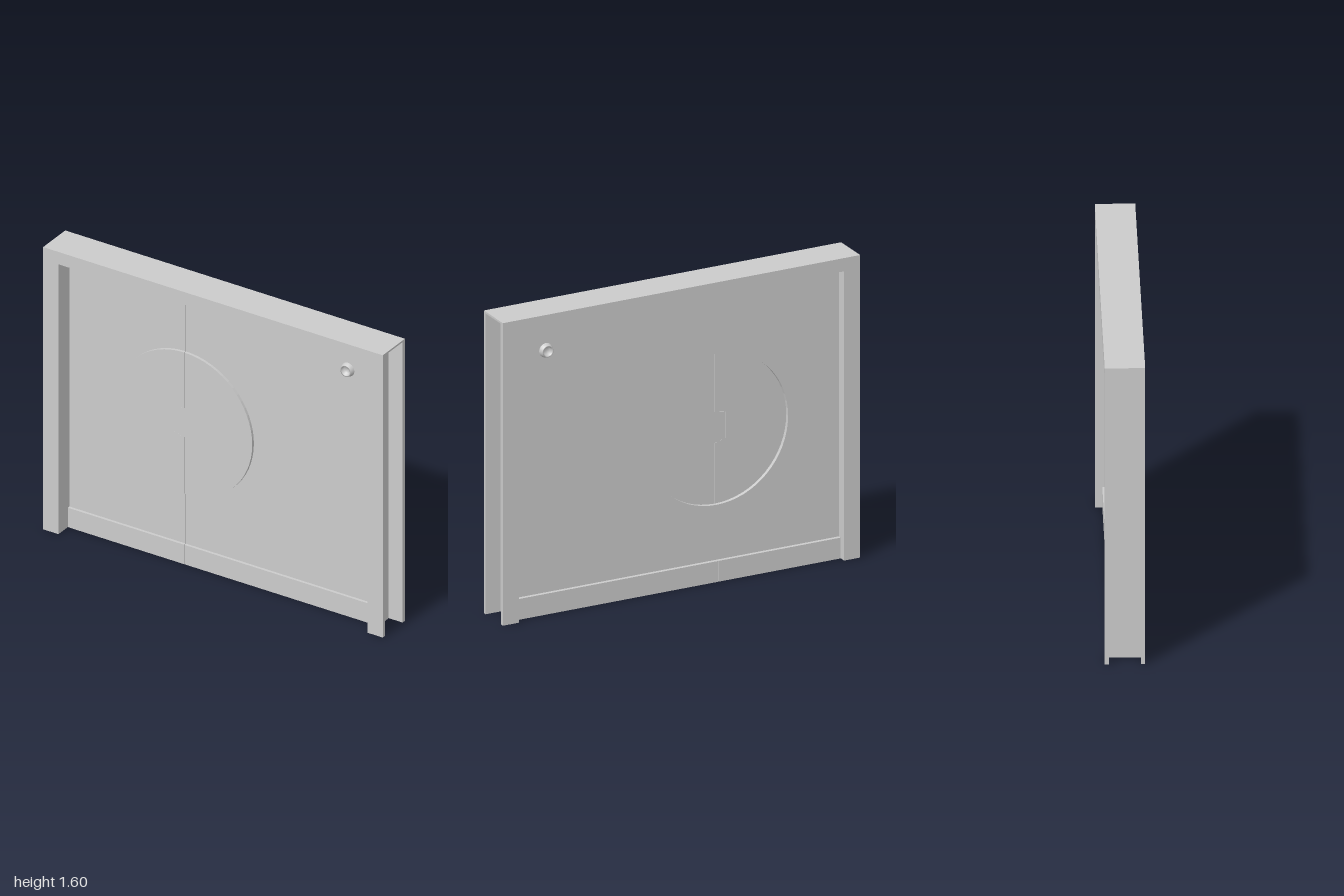
import * as THREE from 'three';

const material = new THREE.MeshStandardMaterial({ color: 0xcccccc });
const SEAM = -0.225, GAP = 0.001, JAMB = 0.91, WEB = 0.918, HEAD = 1.53;
const PANEL_BACK = -0.045, PANEL_FRONT = 0;
const BOSS_RADIUS = 0.4, BOSS_Y = 0.8;

function add(parent, name, geometry) {
  const mesh = new THREE.Mesh(geometry, material);
  mesh.name = name;
  parent.add(mesh);
  return mesh;
}

function polygon(points) {
  return new THREE.Shape(points.map(([x, y]) => new THREE.Vector2(x, y)));
}

// Box given by its limits
function block(x0, x1, y0, y1, z0, z1) {
  return new THREE.BoxGeometry(x1 - x0, y1 - y0, z1 - z0)
    .translate((x0 + x1) / 2, (y0 + y1) / 2, (z0 + z1) / 2);
}

// Plate extruded from z0 to z1
function plate(points, z0, z1) {
  return new THREE.ExtrudeGeometry(polygon(points), { depth: z1 - z0, bevelEnabled: false })
    .translate(0, 0, z0);
}

// Upright channel, open towards the outside of the frame
function jambGeometry(side) {
  const profile = [
    [JAMB, -0.1], [1, -0.1], [1, -0.08], [WEB, -0.08],
    [WEB, 0.08], [1, 0.08], [1, 0.1], [JAMB, 0.1],
  ].map(([x, z]) => [x * side, z]);
  return plate(profile, 0, 1.59).rotateX(-Math.PI / 2);
}

// Bottom rail with a hollow underside, running from x0 to x1
function railGeometry(x0, x1) {
  const profile = [
    [-0.04, 0], [-0.034, 0], [-0.034, 0.104], [0.034, 0.104],
    [0.034, 0], [0.04, 0], [0.04, 0.11], [-0.04, 0.11],
  ];
  return plate(profile, x0, x1).rotateY(Math.PI / 2).translate(0, 0, -0.025);
}

// Half circle from the bottom of the boss to its top
function bossArc(side) {
  const steps = 32, points = [];
  for (let i = 0; i <= steps; i++) {
    const a = -Math.PI / 2 + (Math.PI * i) / steps;
    points.push([
      SEAM + side * (GAP + BOSS_RADIUS * Math.cos(a)),
      BOSS_Y + BOSS_RADIUS * Math.sin(a),
    ]);
  }
  return points;
}

function createDoor(name, side) {
  const door = new THREE.Group();
  door.name = name;
  const inner = SEAM + side * GAP, outer = side * 0.915, tab = -0.285 + side * GAP;
  const arc = bossArc(side);

  // Panel cut out around the boss
  add(door, 'panel', plate([
    [inner, 0.1], [outer, 0.1], [outer, HEAD + 0.01], [inner, HEAD + 0.01],
    ...arc.slice().reverse(),
  ], PANEL_BACK, PANEL_FRONT));

  // Half boss: proud at the front, sunken at the back, interlocking at a tab
  add(door, 'roundBoss', plate([
    ...arc, [inner, 0.885], [tab, 0.875], [tab, 0.735], [inner, 0.72],
  ], -0.025, 0.015));

  add(door, 'bottomRail', railGeometry(Math.min(inner, outer), Math.max(inner, outer)));
  return door;
}

export function createModel() {
  const model = new THREE.Group();
  model.name = 'doubleDoor';

  // Frame
  const frame = new THREE.Group();
  frame.name = 'frame';
  model.add(frame);
  add(frame, 'leftJamb', jambGeometry(1));
  add(frame, 'rightJamb', jambGeometry(-1));
  add(frame, 'header', block(-JAMB, JAMB, HEAD, 1.59, -0.1, 0.1));
  add(frame, 'topPlate', block(-1, 1, 1.59, 1.6, -0.1, 0.1));

  // Door leaves
  model.add(createDoor('leftDoor', 1), createDoor('rightDoor', -1));

  // Peephole rim with a sunken centre, on both faces
  const rimProfile = [[0.038, 0], [0.031, 0.022], [0.025, 0.022], [0.02, 0.004], [0, 0.004]]
    .map(([r, h]) => new THREE.Vector2(r, h));
  for (const side of [1, -1]) {
    const rim = add(model, side > 0 ? 'frontPeephole' : 'backPeephole',
      new THREE.LatheGeometry(rimProfile, 20).rotateX(side * Math.PI / 2));
    rim.position.set(0.73, 1.39, side > 0 ? PANEL_FRONT : PANEL_BACK);
  }
  return model;
}
